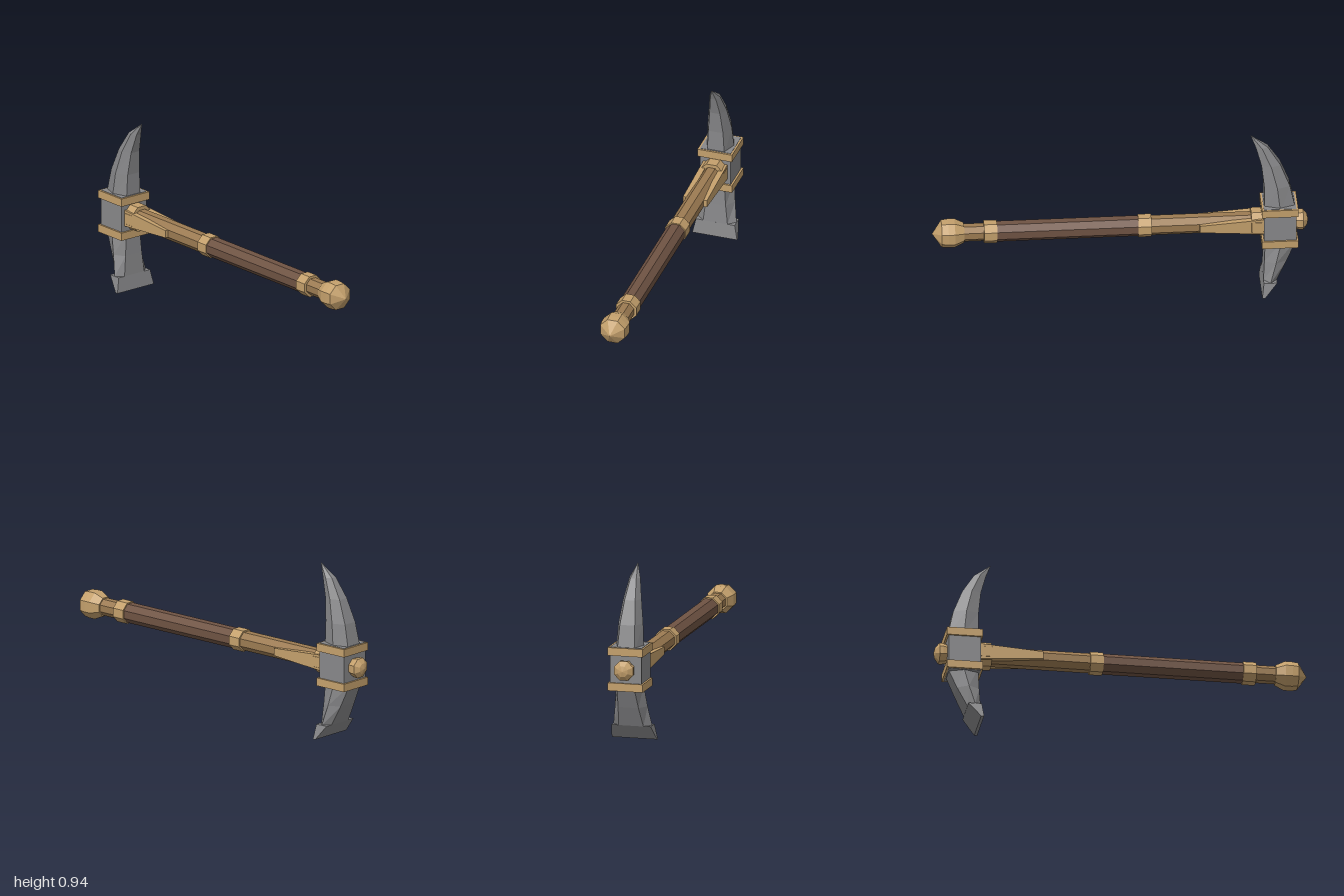
import * as THREE from 'three';

const material = (name, color) => {
  const m = new THREE.MeshStandardMaterial({ color, flatShading: true });
  m.name = name;
  return m;
};

const AXIS_Y = 0.407; // height of the handle
const HEAD_Z = -0.845; // centre of the head

// Eight-sided turned part along z; profile is [half width, z] with rising z
function turned(profile) {
  const k = 1 / Math.cos(Math.PI / 8);
  const points = profile.map(([r, z]) => new THREE.Vector2(r * k, z));
  return new THREE.LatheGeometry(points, 8)
    .rotateY(Math.PI / 8)
    .rotateX(Math.PI / 2)
    .translate(0, AXIS_Y, 0);
}

// Solid through stacked rings of points, lowest ring first
function loft(rings) {
  const pos = [];
  const tri = (...pts) => pts.forEach((p) => pos.push(...p));
  const n = rings[0].length;
  for (let i = 0; i < rings.length - 1; i++) {
    for (let j = 0; j < n; j++) {
      const k = (j + 1) % n;
      const [lo, hi] = [rings[i], rings[i + 1]];
      tri(lo[j], lo[k], hi[k]);
      tri(lo[j], hi[k], hi[j]);
    }
  }
  const [bottom, top] = [rings[0], rings[rings.length - 1]];
  for (let j = 1; j < n - 1; j++) {
    tri(top[0], top[j], top[j + 1]);
    tri(bottom[0], bottom[j + 1], bottom[j]);
  }
  const g = new THREE.BufferGeometry();
  g.setAttribute('position', new THREE.Float32BufferAttribute(pos, 3));
  g.computeVertexNormals();
  return g;
}

// Six-sided blade section: broad at mid depth, narrower front and back faces
const hexRing = ([y, wide, narrow, front, back]) => {
  const mid = (front + back) / 2;
  return [
    [wide, y, mid], [narrow, y, back], [-narrow, y, back],
    [-wide, y, mid], [-narrow, y, front], [narrow, y, front],
  ];
};
const rectRing = ([y, half, front, back]) => [
  [half, y, front], [half, y, back], [-half, y, back], [-half, y, front],
];

export function createModel() {
  const group = new THREE.Group();
  const steel = material('steel', 0x88888a);
  const brass = material('brass', 0xc4a06c);
  const wood = material('tan wood', 0x9c7b52);
  const grip = material('brown grip', 0x6f5343);

  const add = (name, geometry, mat) => {
    const mesh = new THREE.Mesh(geometry, mat);
    mesh.name = name;
    group.add(mesh);
    return mesh;
  };
  const ring = (name, r, z0, z1, mat) =>
    add(name, turned([[0, z0], [r, z0], [r, z1], [0, z1]]), mat);

  // Handle
  ring('upperShaft', 0.049, -0.78, -0.12, wood);
  ring('grip', 0.051, -0.12, 0.69, grip);
  ring('neck', 0.044, 0.69, 0.85, wood);
  ring('upperCollar', 0.057, -0.165, -0.095, brass);
  ring('lowerCollar', 0.057, 0.655, 0.725, brass);
  ring('headCollar', 0.068, -0.77, -0.695, brass);
  add('pommel', turned([
    [0, 0.83], [0.05, 0.83], [0.072, 0.88], [0.072, 0.915], [0.068, 0.95], [0, 1],
  ]), brass);
  add('endCap', turned([
    [0, -1], [0.028, -0.993], [0.052, -0.972], [0.052, -0.955], [0.044, -0.92], [0, -0.92],
  ]), brass);

  // Tapered straps on both sides of the shaft
  for (const side of [1, -1]) {
    const strap = new THREE.BoxGeometry(0.03, 0.09, 0.35);
    const p = strap.attributes.position;
    for (let i = 0; i < p.count; i++) if (p.getZ(i) > 0) p.setY(i, p.getY(i) * 0.45);
    const mesh = add(side > 0 ? 'leftStrap' : 'rightStrap', strap, brass);
    mesh.position.set(side * 0.052, AXIS_Y, -0.595);
  }

  // Head block with two trim bands
  add('headBlock', new THREE.BoxGeometry(0.172, 0.22, 0.172), steel)
    .position.set(0, AXIS_Y, HEAD_Z);
  for (const [name, y] of [['upperBand', 0.501], ['lowerBand', 0.31]]) {
    add(name, new THREE.BoxGeometry(0.193, 0.043, 0.193), brass).position.set(0, y, HEAD_Z);
  }
  add('headTop', new THREE.BoxGeometry(0.172, 0.238, 0.172), steel)
    .position.set(0, 0.4055, HEAD_Z);

  // Curved pick above: [y, half width, face half width, front z, back z]
  add('pickBlade', loft([
    [0.5, 0.077, 0.048, -0.765, -0.93],
    [0.64, 0.068, 0.041, -0.764, -0.9],
    [0.765, 0.05, 0.029, -0.75, -0.851],
    [0.87, 0.03, 0.016, -0.721, -0.785],
    [0.937, 0.001, 0.0005, -0.694, -0.697],
  ].map(hexRing)), steel);

  // Flared adze below, ending in a wide cutting edge
  add('adzeBlade', loft([
    [0.08, 0.107, 0.068, -0.757, -0.828],
    [0.19, 0.09, 0.056, -0.763, -0.882],
    [0.31, 0.077, 0.047, -0.768, -0.935],
  ].map(hexRing)), steel);
  add('adzeEdge', loft([
    [0, 0.125, -0.747, -0.763],
    [0.081, 0.108, -0.757, -0.828],
  ].map(rectRing)), steel);

  return group;
}
